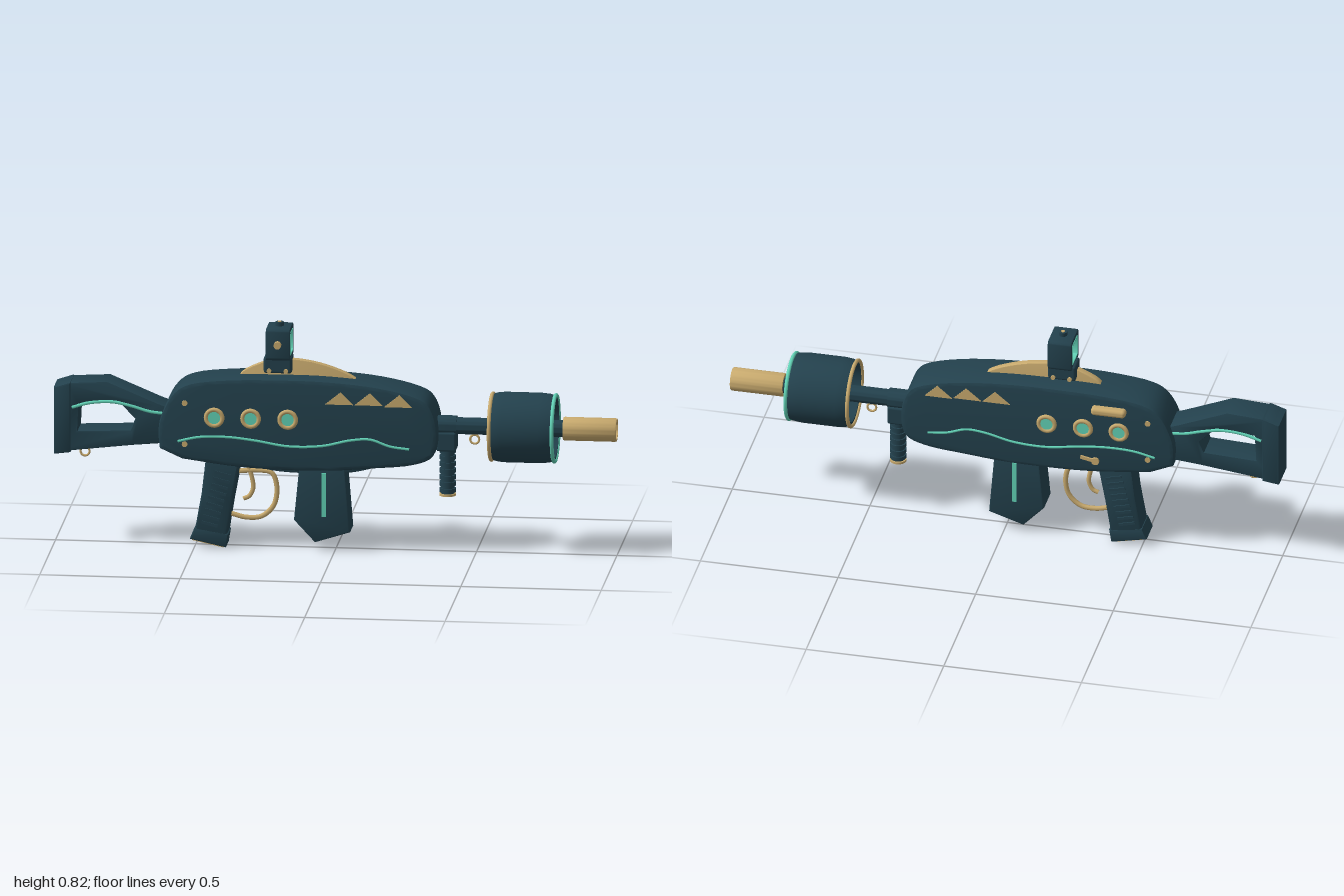
import * as THREE from 'three';
import { toCreasedNormals } from 'three/addons/utils/BufferGeometryUtils.js';
import { RoundedBoxGeometry } from 'three/addons/geometries/RoundedBoxGeometry.js';

const mat = (name, color) => new THREE.MeshStandardMaterial({ name, color });

export function createModel() {
  const root = new THREE.Group();
  const navy = mat('dark navy', 0x23414d);
  const brass = mat('brass', 0xc8aa6e);
  const teal = mat('teal', 0x62d2b6);
  const black = mat('bore black', 0x14242b);

  const add = (name, geo, material, x = 0, y = 0, z = 0) => {
    const m = new THREE.Mesh(geo, material);
    m.name = name;
    m.position.set(x, y, z);
    root.add(m);
    return m;
  };
  const v2 = (pts) => pts.map(([x, y]) => new THREE.Vector2(x, y));
  const v3 = (pts, z = 0) => pts.map(([x, y]) => new THREE.Vector3(x, y, z));

  // Outline extruded symmetrically about z = 0, with bevelled edges
  const slab = (pts, half, bevel, hole) => {
    const shape = new THREE.Shape(v2(pts));
    if (hole) shape.holes.push(new THREE.Path(v2(hole)));
    const g = new THREE.ExtrudeGeometry(shape, {
      depth: 2 * (half - bevel), bevelEnabled: bevel > 0, bevelSize: bevel,
      bevelThickness: bevel, bevelOffset: -bevel, bevelSegments: 2,
    });
    g.translate(0, 0, bevel - half);
    return toCreasedNormals(g, 0.6);
  };
  const smooth = (pts, n) => new THREE.SplineCurve(v2(pts)).getPoints(n).map((p) => [p.x, p.y]);
  const tube = (pts, r, z = 0, n = 40) =>
    new THREE.TubeGeometry(new THREE.CatmullRomCurve3(v3(pts, z)), n, r, 8);
  // Closed profile of [radius, x] spun about the barrel axis
  const spin = (pts) => {
    const g = new THREE.LatheGeometry(v2([...pts, pts[0]]), 48);
    return toCreasedNormals(g.rotateZ(-Math.PI / 2), 0.6);
  };
  const disc = (r, depth) => new THREE.CylinderGeometry(r, r, depth, 28).rotateX(Math.PI / 2);

  // Main body
  const outline = smooth([
    [-0.62, 0.37], [-0.625, 0.43], [-0.615, 0.49], [-0.575, 0.57], [-0.51, 0.612],
    [-0.37, 0.63], [-0.2, 0.635], [-0.03, 0.633], [0.15, 0.617], [0.29, 0.585],
    [0.345, 0.545], [0.368, 0.46], [0.355, 0.37], [0.28, 0.333], [0.14, 0.317],
    [-0.05, 0.303], [-0.31, 0.307], [-0.54, 0.334],
  ], 72);
  add('body', slab(outline, 0.088, 0.014), navy);
  add('topFin', slab(smooth([[-0.35, 0.62], [-0.32, 0.65], [-0.24, 0.683], [-0.16, 0.692],
    [-0.06, 0.678], [0.03, 0.648], [0.08, 0.62]], 24), 0.013, 0.002), brass);
  add('bellyFin', slab(smooth([[0.19, 0.33], [0.12, 0.305], [0.03, 0.288], [-0.1, 0.284],
    [-0.23, 0.292], [-0.33, 0.32]], 24), 0.045, 0.004), navy);

  // Stock with a thumb opening and butt pad
  add('stock', slab([[-0.99, 0.34], [-0.72, 0.372], [-0.58, 0.385], [-0.58, 0.51],
    [-0.63, 0.528], [-0.81, 0.603], [-0.95, 0.595], [-0.99, 0.58]], 0.057, 0.008,
  [[-0.915, 0.42], [-0.91, 0.52], [-0.77, 0.53], [-0.71, 0.468], [-0.727, 0.428]]), navy);
  add('buttPad', slab([[-1, 0.333], [-0.94, 0.341], [-0.94, 0.597], [-1, 0.577]], 0.062, 0.006), navy);

  // Details repeated on both sides
  const triangle = new THREE.Shape(v2([[-0.05, 0], [0.05, 0], [0.005, 0.045]]));
  for (const s of [1, -1]) {
    const side = s > 0 ? 'left' : 'right';
    for (const x of [-0.425, -0.295, -0.163]) {
      add(side + 'ButtonRing', new THREE.TorusGeometry(0.029, 0.008, 10, 28), brass, x, 0.49, s * 0.09);
      add(side + 'Button', disc(0.024, 0.012), teal, x, 0.49, s * 0.088);
    }
    for (const [x, y] of [[0.02, 0.55], [0.125, 0.55], [0.23, 0.546]]) {
      const g = new THREE.ExtrudeGeometry(triangle, { depth: 0.005, bevelEnabled: false });
      add(side + 'Tooth', g.translate(0, 0, -0.0025), brass, x, y, s * 0.0885);
    }
    for (const y of [0.54, 0.39]) add(side + 'Screw', disc(0.01, 0.008), brass, -0.53, y, s * 0.089);
    add(side + 'BodyStripe', tube([[-0.555, 0.4], [-0.48, 0.417], [-0.38, 0.42], [-0.28, 0.41],
      [-0.16, 0.392], [-0.04, 0.397], [0.06, 0.42], [0.13, 0.425], [0.2, 0.402], [0.27, 0.393]],
    0.005, s * 0.087, 60), teal);
    add(side + 'StockStripe', tube([[-0.935, 0.505], [-0.87, 0.524], [-0.79, 0.529],
      [-0.72, 0.515], [-0.66, 0.498], [-0.61, 0.492]], 0.006, s * 0.056), teal);
    add(side + 'MagazineStripe', new THREE.BoxGeometry(0.015, 0.16, 0.006), teal, -0.038, 0.21, s * 0.056);
    for (let i = 0; i < 9; i++) {
      const rib = add(side + 'GripRib', new THREE.BoxGeometry(0.06, 0.01, 0.008), navy,
        -0.398 - i * 0.006, 0.275 - i * 0.023, s * 0.05);
      rib.rotation.z = -0.25;
    }
  }

  // Bolt handle and selector lever on the right side
  add('boltHandle', new RoundedBoxGeometry(0.125, 0.03, 0.04, 3, 0.012), brass, -0.39, 0.575, -0.095);
  add('selectorPivot', disc(0.014, 0.012), brass, -0.34, 0.36, -0.09);
  const lever = add('selectorLever', new THREE.BoxGeometry(0.06, 0.012, 0.01), brass, -0.315, 0.365, -0.09);
  lever.rotation.z = 0.2;

  // Pistol grip
  add('grip', slab([[-0.50, 0.06], [-0.385, 0.045], [-0.365, 0.17], [-0.335, 0.33],
    [-0.46, 0.33], [-0.475, 0.2]], 0.05, 0.01), navy);
  add('gripFoot', slab([[-0.517, 0.034], [-0.388, 0.006], [-0.38, 0.055], [-0.5, 0.075]], 0.052, 0.006), navy);
  const plate = add('gripBasePlate', new THREE.BoxGeometry(0.115, 0.006, 0.085), brass, -0.4525, 0.0195, 0);
  plate.rotation.z = -0.214;

  // Trigger and guard
  add('triggerGuard', tube([[-0.35, 0.275], [-0.28, 0.28], [-0.23, 0.272], [-0.212, 0.225],
    [-0.222, 0.155], [-0.265, 0.113], [-0.32, 0.107], [-0.375, 0.12]], 0.009), brass);
  add('trigger', tube([[-0.315, 0.3], [-0.302, 0.26], [-0.296, 0.215], [-0.31, 0.185],
    [-0.33, 0.175]], 0.008), brass);

  // Magazine
  add('magazine', slab([[-0.145, 0.115], [-0.07, 0.035], [0.055, 0.075], [0.035, 0.32],
    [-0.125, 0.32]], 0.056, 0.006), navy);

  // Barrel, drum shroud and muzzle
  const Y = 0.463;
  add('barrel', spin([[0, 0.33], [0.03, 0.33], [0.03, 0.83], [0, 0.83]]), navy, 0, Y);
  add('barrelCollar', spin([[0.03, 0.36], [0.036, 0.36], [0.036, 0.43], [0.03, 0.43]]), navy, 0, Y);
  add('drum', spin([[0.117, 0.557], [0.122, 0.575], [0.125, 0.6], [0.125, 0.73], [0.122, 0.76],
    [0.117, 0.782], [0.103, 0.782], [0.103, 0.557]]), navy, 0, Y);
  for (const [name, m, x] of [['drumRearRim', brass, 0.556], ['drumFrontRim', teal, 0.78]]) {
    add(name, new THREE.TorusGeometry(0.118, 0.007, 10, 48).rotateY(Math.PI / 2), m, x, Y);
  }
  add('drumBulkhead', spin([[0.028, 0.64], [0.105, 0.64], [0.105, 0.655], [0.028, 0.655]]), navy, 0, Y);
  add('drumHub', spin([[0.028, 0.65], [0.045, 0.65], [0.045, 0.69], [0.028, 0.69]]), navy, 0, Y);
  for (let i = 0; i < 6; i++) {
    const w = i % 3 ? 0.027 : 0.021;
    const inner = i % 3 ? 0.012 : 0.021;
    const blade = new THREE.ExtrudeGeometry(
      new THREE.Shape(v2([[-inner, 0.04], [inner, 0.04], [w, 0.098], [-w, 0.098]])),
      { depth: 0.008, bevelEnabled: false });
    const b = add('drumVane', blade.rotateY(Math.PI / 2), teal, 0.654, Y);
    b.rotation.x = i * Math.PI / 3;
  }
  add('muzzle', spin([[0.028, 0.81], [0.041, 0.81], [0.042, 0.815], [0.042, 0.995], [0.04, 1],
    [0.034, 1], [0.034, 0.83], [0.028, 0.83]]), brass, 0, Y);
  add('bore', spin([[0, 0.92], [0.0345, 0.92], [0.0345, 0.925], [0, 0.925]]), black, 0, Y);
  add('boreLining', spin([[0.034, 0.9], [0.0345, 0.9], [0.0345, 0.992], [0.032, 0.992],
    [0.032, 0.9]]), navy, 0, Y);

  // Ribbed foregrip hanging below the barrel
  add('foregripMount', new RoundedBoxGeometry(0.07, 0.07, 0.075, 2, 0.008), navy, 0.395, 0.41, 0);
  add('foregrip', new THREE.CylinderGeometry(0.024, 0.024, 0.18, 24), navy, 0.397, 0.305, 0);
  for (let i = 0; i < 7; i++) {
    add('foregripRib', new THREE.CylinderGeometry(0.029, 0.029, 0.015, 24), navy, 0.397, 0.228 + i * 0.024, 0);
  }
  add('foregripCap', new THREE.CylinderGeometry(0.03, 0.03, 0.008, 24), brass, 0.397, 0.212, 0);

  // Sling rings
  for (const [x, y] of [[-0.895, 0.332], [0.493, 0.415]]) {
    add('slingRing', new THREE.TorusGeometry(0.016, 0.004, 8, 24), brass, x, y, 0);
  }

  // Sight: base, square see-through housing, teal lining and knobs
  const rect = (h, r) => {
    const c = [];
    for (let k = 0; k < 4; k++) {
      for (let j = 0; j <= 4; j++) {
        const a = k * Math.PI / 2 + j * Math.PI / 8;
        const sx = k === 0 || k === 3 ? 1 : -1;
        const sy = k < 2 ? 1 : -1;
        c.push([sx * (h - r) + r * Math.cos(a), sy * (h - r) + r * Math.sin(a)]);
      }
    }
    return c;
  };
  const frame = (half, bevel, out, inn) =>
    slab(rect(out, out * 0.2), half, bevel, rect(inn, inn * 0.12)).rotateY(Math.PI / 2);
  add('sightBase', new RoundedBoxGeometry(0.1, 0.06, 0.076, 2, 0.008), navy, -0.205, 0.674, 0);
  add('sightHousing', frame(0.043, 0.003, 0.058, 0.041), navy, -0.202, 0.753, 0);
  add('sightLining', frame(0.044, 0, 0.0415, 0.035), teal, -0.202, 0.753, 0);
  add('sightKnob', disc(0.013, 0.025), brass, -0.202, 0.755, 0.064);
  for (const x of [-0.235, -0.175]) add('sightBaseScrew', disc(0.008, 0.09), brass, x, 0.654, 0);
  add('sightTopDial', new THREE.CylinderGeometry(0.015, 0.015, 0.02, 20), navy, -0.202, 0.815, 0);
  add('sightTopPin', new THREE.CylinderGeometry(0.007, 0.007, 0.02, 16), brass, -0.202, 0.817, 0);

  return root;
}
